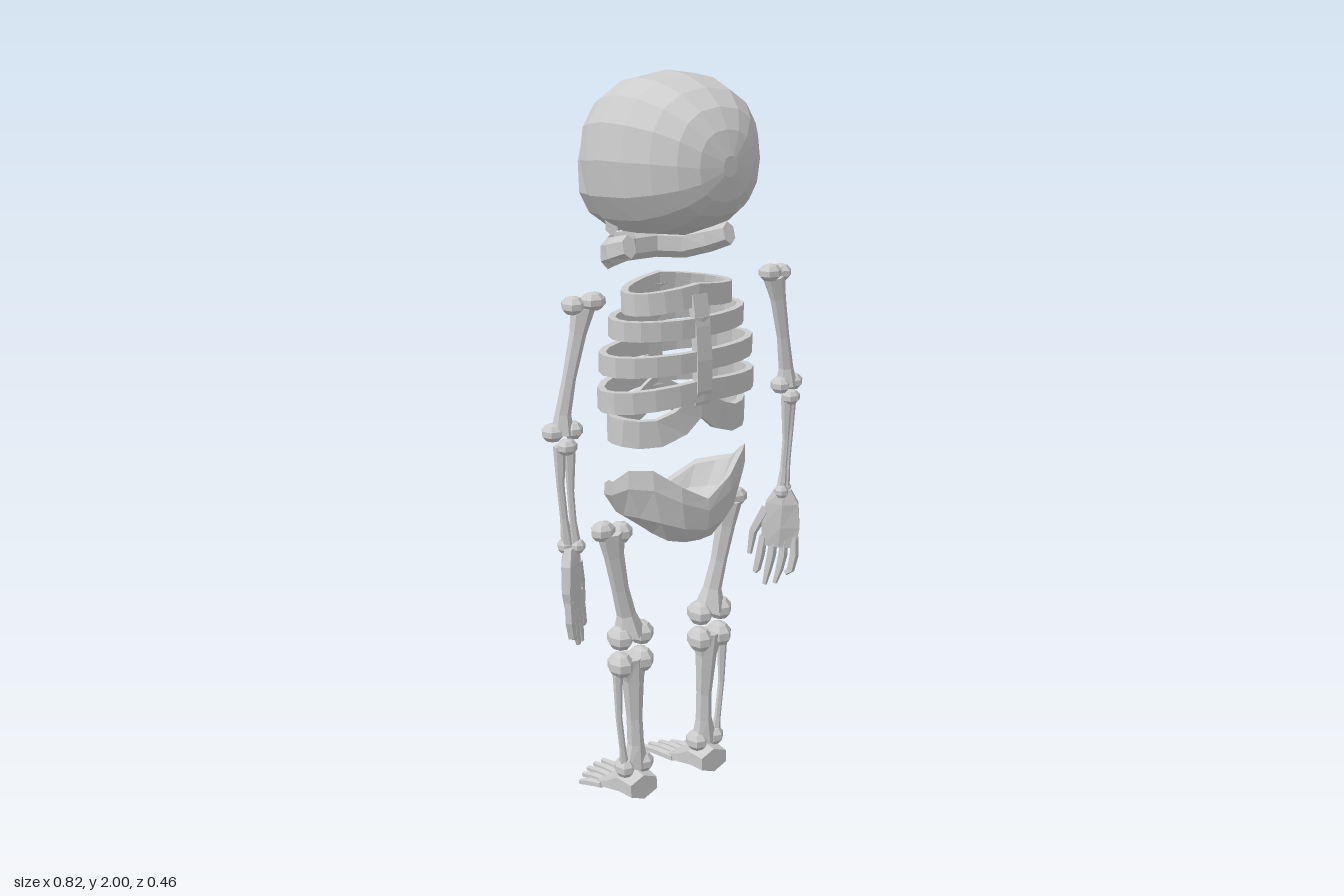
import * as THREE from 'three';

const V = (x, y, z) => new THREE.Vector3(x, y, z);
const solid = new THREE.MeshStandardMaterial({ color: 0xcccccc, flatShading: true });
const shell = new THREE.MeshStandardMaterial({ color: 0xcccccc, flatShading: true, side: THREE.DoubleSide });

function add(parent, name, geometry, material = solid) {
  const mesh = new THREE.Mesh(geometry, material);
  mesh.name = name;
  parent.add(mesh);
  return mesh;
}

function group(parent, name) {
  const g = new THREE.Group();
  g.name = name;
  parent.add(g);
  return g;
}

// Skins a list of rings that all have the same number of points
function loft(rings, { caps = true, closed = false } = {}) {
  const n = rings[0].length, m = rings.length, index = [];
  for (let i = 0; i < (closed ? m : m - 1); i++) {
    for (let j = 0; j < n; j++) {
      const k = (j + 1) % n, p = i * n, q = ((i + 1) % m) * n;
      index.push(p + j, p + k, q + k, p + j, q + k, q + j);
    }
  }
  if (caps && !closed) {
    const e = (m - 1) * n;
    for (let j = 1; j < n - 1; j++) index.push(0, j + 1, j, e, e + j, e + j + 1);
  }
  const g = new THREE.BufferGeometry().setFromPoints(rings.flat());
  g.setIndex(index);
  g.computeVertexNormals();
  return g;
}

// Sweeps an n-sided section along points; radii are [across, along ref]
function sweep(points, radii, { sides = 6, ref = V(0, 0, 1), closed = false } = {}) {
  const m = points.length, at = i => points[closed ? (i + m) % m : THREE.MathUtils.clamp(i, 0, m - 1)];
  return loft(points.map((p, i) => {
    const t = at(i + 1).clone().sub(at(i - 1)).normalize();
    const u = ref.clone().cross(t).normalize(), v = t.clone().cross(u);
    const r = radii[i % radii.length], [a, b] = Array.isArray(r) ? r : [r, r];
    return Array.from({ length: sides }, (_, j) => {
      const w = (j + 0.5) / sides * Math.PI * 2;
      return p.clone().addScaledVector(u, a * Math.cos(w)).addScaledVector(v, b * Math.sin(w));
    });
  }), { closed });
}

function knob(parent, name, x, y, z, rx, ry, rz) {
  const g = new THREE.SphereGeometry(1, 7, 5);
  g.scale(rx, ry, rz).translate(x, y, z);
  add(parent, name, g);
}

function buildSkull(root) {
  const skull = group(root, 'skull');
  // Cranium sections: z, half width, top, bottom; the last ones close the sockets
  const sections = [
    [0.23, 0.02, 1.82, 1.77], [0.215, 0.08, 1.88, 1.71], [0.185, 0.125, 1.93, 1.67], [0.13, 0.165, 1.97, 1.635],
    [0.05, 0.193, 1.995, 1.605], [-0.03, 0.205, 2.0, 1.595], [-0.1, 0.197, 1.985, 1.59], [-0.15, 0.18, 1.962, 1.605],
    [-0.135, 0.165, 1.94, 1.62], [-0.09, 0.12, 1.86, 1.64]];
  const pow = c => Math.sign(c) * Math.abs(c) ** 0.85;
  add(skull, 'cranium', loft(sections.map(([z, w, top, low]) => Array.from({ length: 16 }, (_, j) => {
    const a = j / 16 * Math.PI * 2;
    return V(w * pow(Math.sin(a)), (top + low) / 2 + (top - low) / 2 * pow(Math.cos(a)), z);
  }))), shell);

  // Face plate with eye sockets and a nose opening, bulging towards its middle
  const half = [[0.09, 1.93], [0.155, 1.87], [0.18, 1.78], [0.176, 1.7], [0.14, 1.645], [0.1, 1.62], [0.07, 1.6]];
  const mirrored = half.map(([x, y]) => [-x, y]).reverse();
  const outline = [[0, 1.95], ...half, [0, 1.6], ...mirrored];
  const path = pts => pts.map(([x, y]) => new THREE.Vector2(x, y));
  const face = new THREE.Shape(path(outline));
  const eye = [[0.035, 1.73], [0.05, 1.805], [0.13, 1.8], [0.148, 1.73], [0.105, 1.67], [0.055, 1.68]];
  const nose = [[0, 1.715], [0.03, 1.65], [0, 1.64], [-0.03, 1.65]];
  for (const hole of [eye, eye.map(([x, y]) => [-x, y]), nose]) face.holes.push(new THREE.Path(path(hole)));
  const g = new THREE.ExtrudeGeometry(face, { depth: 1, bevelEnabled: false });
  const p = g.attributes.position;
  for (let i = 0; i < p.count; i++) {
    const x = Math.abs(p.getX(i)), y = p.getY(i);
    const front = -0.155 - (1 - x / 0.19) * Math.min(1, (1.97 - y) / 0.25) * 0.065;
    p.setZ(i, p.getZ(i) < 0.5 ? front : -0.12);
  }
  g.computeVertexNormals();
  add(skull, 'face', g, shell);

  // Upper teeth and horseshoe jaw
  const up = { sides: 6, ref: V(0, 1, 0) };
  add(skull, 'upperTeeth', sweep([V(0.12, 1.62, -0.1), V(0.07, 1.615, -0.165), V(0, 1.612, -0.18), V(-0.07, 1.615, -0.165), V(-0.12, 1.62, -0.1)],
    [[0.018, 0.025]], up));
  const side = [[0.155, 1.59, 0.03], [0.15, 1.565, -0.05], [0.12, 1.545, -0.12], [0.07, 1.545, -0.172]];
  const jaw = [...side, [0, 1.543, -0.182], ...side.map(([x, y, z]) => [-x, y, z]).reverse()];
  add(skull, 'jaw', sweep(jaw.map(q => V(...q)),
    [0.03, 0.036, 0.04, 0.04, 0.04, 0.04, 0.04, 0.036, 0.03].map(h => [0.02, h]), up));
}

function buildRibcage(root) {
  const cage = group(root, 'ribcage');
  // Each rib band: y at spine, y at side, half width, depth, half height
  const ribs = [[1.465, 1.445, 0.152, 0.085, 0.028], [1.385, 1.385, 0.19, 0.1, 0.025], [1.3, 1.298, 0.22, 0.108, 0.026],
    [1.222, 1.205, 0.226, 0.108, 0.028], [1.185, 1.125, 0.198, 0.098, 0.036]];
  ribs.forEach(([yc, ys, w, d, h], i) => {
    const pts = Array.from({ length: 20 }, (_, j) => {
      const a = -j / 20 * Math.PI * 2, s = Math.abs(Math.sin(a));
      const dip = i === 4 ? -0.03 * Math.sin(Math.PI * s) : 0;
      return V(w * Math.sin(a), yc + (ys - yc) * s + dip, 0.017 + d * Math.cos(a));
    });
    add(cage, 'rib' + (i + 1), sweep(pts, [[0.013, h * 1.41]], { sides: 4, ref: V(0, 1, 0), closed: true }));
  });
  // Spine behind, breastbone ahead
  for (const [name, s] of [['spine', 1], ['breastbone', -1]]) {
    const pts = ribs.map(([y, , , d]) => V(0, y, 0.017 + s * d));
    add(cage, name, sweep(pts, [[0.032, 0.016]], { sides: 4 }));
  }
}

function buildPelvis(root) {
  // Open bowl: rim and base heights go from the back round to the front
  const rim = [0.935, 0.98, 1.03, 1.025, 0.98, 0.96, 0.945, 0.9, 0.86];
  const base = [0.81, 0.81, 0.815, 0.83, 0.84, 0.835, 0.83, 0.825, 0.82];
  const ring = (f, w, d) => Array.from({ length: 16 }, (_, j) => {
    const a = j / 16 * Math.PI * 2, k = Math.min(j, 16 - j);
    return V(w * Math.sin(a), base[k] + (rim[k] - base[k]) * f, 0.01 + d * Math.cos(a));
  });
  add(root, 'pelvis', loft([ring(0, 0.115, 0.11), ring(0.3, 0.168, 0.142), ring(0.75, 0.205, 0.15), ring(1, 0.205, 0.145),
    ring(0.93, 0.185, 0.125), ring(0.4, 0.15, 0.115), ring(0.05, 0.1, 0.095)], { caps: false }), shell);
}

function buildArm(root, name, s) {
  const arm = group(root, name);
  const P = (x, y, z) => V(s * x, y, z);
  const k = (n, x, ...rest) => knob(arm, n, s * x, ...rest);
  k('shoulderKnob', 0.277, 1.475, 0.05, 0.034, 0.024, 0.03);
  k('shoulderKnob', 0.325, 1.468, 0.035, 0.03, 0.024, 0.032);
  add(arm, 'upperArm', sweep([P(0.3, 1.46, 0.04), P(0.315, 1.4, 0.04), P(0.34, 1.29, 0.035), P(0.357, 1.2, 0.03), P(0.36, 1.15, 0.03)],
    [0.03, 0.021, 0.017, 0.02, 0.03]));
  k('elbowKnob', 0.333, 1.155, 0.035, 0.026, 0.024, 0.03);
  k('elbowKnob', 0.385, 1.155, 0.025, 0.03, 0.024, 0.03);
  k('elbowKnob', 0.36, 1.12, 0.05, 0.028, 0.022, 0.025);
  add(arm, 'forearmOuter', sweep([P(0.372, 1.12, 0.035), P(0.373, 1.02, 0.035), P(0.365, 0.93, 0.035), P(0.357, 0.85, 0.035)],
    [0.017, 0.01, 0.01, 0.016]));
  add(arm, 'forearmInner', sweep([P(0.35, 1.12, 0.045), P(0.35, 1.0, 0.045), P(0.345, 0.92, 0.045), P(0.338, 0.85, 0.045)],
    [0.016, 0.009, 0.009, 0.014]));
  k('wristKnob', 0.36, 0.85, 0.03, 0.022, 0.02, 0.022);
  k('wristKnob', 0.335, 0.85, 0.05, 0.02, 0.02, 0.02);

  // Hand turned diagonally, with four fingers and a thumb
  const hand = group(arm, 'hand'), ref = P(0.66, 0, -0.75);
  const spread = (x, y, z, d) => P(x + 0.75 * d, y, z + 0.66 * d);
  add(hand, 'palm', sweep([P(0.35, 0.85, 0.038), P(0.35, 0.81, 0.038), P(0.347, 0.74, 0.036), P(0.342, 0.68, 0.035)],
    [[0.026, 0.018], [0.052, 0.024], [0.062, 0.022], [0.056, 0.014]], { ref }));
  [0.6, 0.565, 0.57, 0.6].forEach((tip, i) => {
    const d = (i - 1.5) * 0.029;
    add(hand, 'finger', sweep([spread(0.342, 0.71, 0.035, d), spread(0.338, 0.655, 0.034, d * 1.1),
      spread(0.33, 0.61, 0.03, d * 1.1), spread(0.32, tip, 0.026, d)], [0.013, 0.014, 0.012, 0.007], { sides: 5, ref }));
  });
  add(hand, 'thumb', sweep([spread(0.345, 0.79, 0.035, -0.04), spread(0.342, 0.72, 0.03, -0.07), spread(0.335, 0.655, 0.028, -0.072)],
    [0.016, 0.013, 0.008], { sides: 5, ref }));
}

function buildLeg(root, name, s) {
  const leg = group(root, name);
  leg.position.x = -0.018;
  const P = (x, y, z) => V(s * x, y, z);
  const k = (n, x, ...rest) => knob(leg, n, s * x, ...rest);
  k('hipKnob', 0.163, 0.84, 0.015, 0.033, 0.03, 0.033);
  k('hipKnob', 0.218, 0.855, 0.015, 0.036, 0.028, 0.03);
  add(leg, 'thigh', sweep([P(0.195, 0.85, 0.015), P(0.185, 0.78, 0.015), P(0.165, 0.68, 0.012), P(0.145, 0.6, 0.01), P(0.135, 0.54, 0.01)],
    [0.038, 0.027, 0.023, 0.026, 0.045]));
  for (const [part, y, r] of [['lowerThighKnob', 0.535, 0.034], ['upperShinKnob', 0.455, 0.036]]) {
    k(part, 0.1, y, 0.012, 0.035, r, 0.042);
    k(part, 0.167, y, 0.012, 0.035, r, 0.042);
  }
  add(leg, 'shin', sweep([P(0.13, 0.47, 0.01), P(0.125, 0.4, 0.01), P(0.12, 0.28, 0.008), P(0.118, 0.2, 0.01), P(0.12, 0.13, 0.01)],
    [[0.05, 0.035], 0.03, 0.022, 0.023, [0.04, 0.03]]));
  add(leg, 'calfBone', sweep([P(0.178, 0.43, 0.015), P(0.176, 0.3, 0.015), P(0.165, 0.2, 0.015), P(0.158, 0.13, 0.012)],
    [0.014, 0.009, 0.009, 0.015]));
  k('ankleKnob', 0.095, 0.135, 0.008, 0.032, 0.03, 0.036);
  k('ankleKnob', 0.155, 0.135, 0.008, 0.028, 0.03, 0.034);

  // Wedge foot running towards -z, with five tapering toes
  const foot = group(leg, 'foot'), ref = V(0, 1, 0);
  add(foot, 'footBody', sweep([P(0.122, 0.082, 0.055), P(0.122, 0.08, 0), P(0.122, 0.056, -0.05), P(0.124, 0.04, -0.1)],
    [[0.05, 0.036], [0.056, 0.04], [0.056, 0.024], [0.062, 0.014]], { ref }));
  [-0.232, -0.23, -0.22, -0.2, -0.172].forEach((tip, i) => {
    const x = 0.078 + i * 0.024, end = 0.07 + i * 0.029;
    add(foot, 'toe', sweep([P(x, 0.042, -0.08), P((x + end) / 2, 0.028, (tip - 0.09) / 2), P(end, 0.011, tip)],
      [0.012 - i * 0.0005, 0.012, 0.008], { sides: 5, ref }));
  });
}

export function createModel() {
  const root = new THREE.Group();
  root.name = 'skeleton';
  buildSkull(root);
  buildRibcage(root);
  buildPelvis(root);
  for (const [side, s] of [['left', 1], ['right', -1]]) {
    buildArm(root, side + 'Arm', s);
    buildLeg(root, side + 'Leg', s);
  }
  return root;
}
